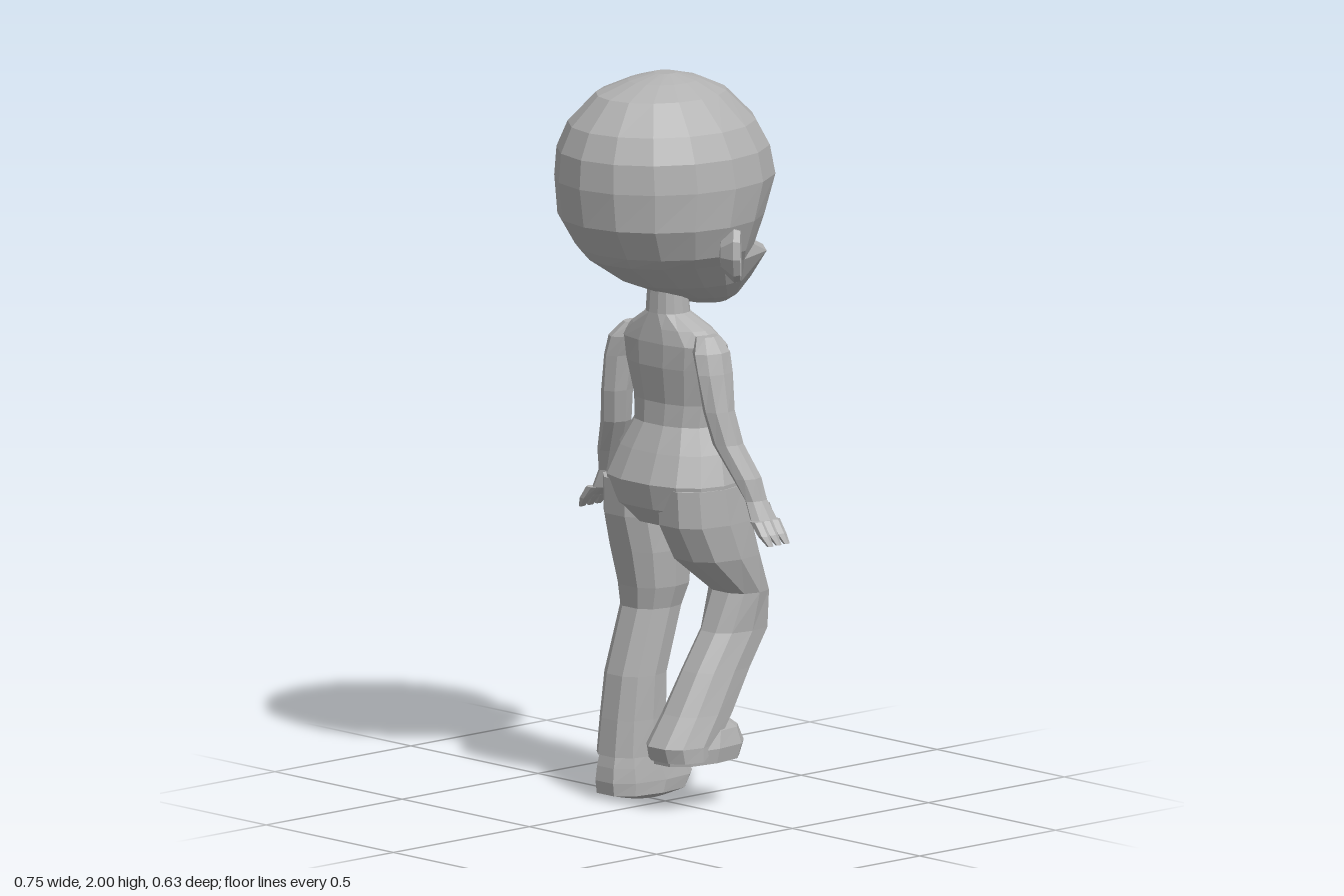
import * as THREE from 'three';

const grey = new THREE.MeshStandardMaterial({ color: 0xb2b2b2, flatShading: true });
grey.name = 'plain grey';

// Closed skin over horizontal rings [cx, y, cz, rx, rz, lip]; power < 1 makes the rings boxier,
// lip pushes the face side (-z) of a ring forward.
function loft(rings, sides, power = 1) {
  const list = rings[0][1] > rings[rings.length - 1][1] ? [...rings].reverse() : rings;
  const pos = [], index = [];
  const soft = v => Math.sign(v) * Math.abs(v) ** power;
  for (const [cx, y, cz, rx, rz, lip = 0] of list) {
    for (let i = 0; i < sides; i++) {
      const a = (i / sides) * Math.PI * 2, s = Math.sin(a);
      pos.push(cx + rx * soft(Math.cos(a)), y, cz + rz * soft(s) - (s < -0.7 ? lip : 0));
    }
  }
  for (let r = 0; r < list.length - 1; r++) {
    for (let i = 0; i < sides; i++) {
      const a = r * sides + i, b = r * sides + (i + 1) % sides;
      index.push(a, a + sides, b, b, a + sides, b + sides);
    }
  }
  const top = (list.length - 1) * sides, n = list.length * sides;
  for (const ring of [list[0], list[list.length - 1]]) pos.push(ring[0], ring[1], ring[2]);
  for (let i = 0; i < sides; i++) {
    const j = (i + 1) % sides;
    index.push(n, i, j, n + 1, top + j, top + i);
  }
  const g = new THREE.BufferGeometry();
  g.setAttribute('position', new THREE.Float32BufferAttribute(pos, 3));
  g.setIndex(index);
  g.computeVertexNormals();
  return g;
}

// Ring from height, half width and the z of its face side and back side
const span = (y, w, zFace, zBack, lip = 0, cx = 0) =>
  [cx, y, (zFace + zBack) / 2, w, (zBack - zFace) / 2, lip];

export function createModel() {
  const model = new THREE.Group();
  model.name = 'figure';
  const add = (name, geometry, parent = model) => {
    const mesh = new THREE.Mesh(geometry, grey);
    mesh.name = name;
    parent.add(mesh);
  };

  // Large rounded head with a protruding jaw
  add('head', loft([
    span(1.36, 0.07, -0.2, -0.08),
    span(1.385, 0.12, -0.225, -0.01),
    span(1.43, 0.165, -0.25, 0.11, 0.01),
    span(1.5, 0.215, -0.25, 0.22, 0.05),
    span(1.53, 0.24, -0.238, 0.245),
    span(1.615, 0.272, -0.268, 0.3),
    span(1.72, 0.28, -0.312, 0.315),
    span(1.8, 0.27, -0.295, 0.31),
    span(1.87, 0.238, -0.255, 0.28),
    span(1.95, 0.16, -0.175, 0.205),
    span(1.983, 0.09, -0.1, 0.11),
    span(2.0, 0.03, -0.03, 0.03),
  ], 16));

  // Neck, chest, waist and hips
  add('torso', loft([
    span(1.42, 0.055, -0.055, 0.04),
    span(1.345, 0.06, -0.065, 0.045),
    span(1.305, 0.13, -0.1, 0.05),
    span(1.265, 0.175, -0.125, 0.055),
    span(1.2, 0.165, -0.152, 0.055),
    span(1.1, 0.145, -0.155, 0.04),
    span(1.04, 0.138, -0.155, 0.045),
    span(0.97, 0.175, -0.165, 0.08),
    span(0.89, 0.203, -0.17, 0.115),
    span(0.82, 0.2, -0.17, 0.1),
    span(0.77, 0.13, -0.12, 0.06),
  ], 14, 0.85));

  for (const s of [1, -1]) {
    const side = s > 0 ? 'left' : 'right';
    const flip = rings => rings.map(([x, ...rest]) => [x * s, ...rest]);

    // Cupped ear turned out and forward
    const cup = [[0, -0.03], [0.04, -0.025], [0.075, 0.01], [0.07, 0.028], [0.05, 0.025], [0.035, 0], [0, -0.005]];
    const ear = new THREE.LatheGeometry(cup.map(p => new THREE.Vector2(...p)), 9);
    ear.scale(0.75, 1, 1.05).rotateX(-Math.PI / 2).rotateZ(-0.3 * s).rotateY(-0.8 * s);
    ear.translate(0.272 * s, 1.54, 0.015);
    add(side + 'Ear', ear);

    // Arm and hand
    const arm = new THREE.Group();
    arm.name = side + 'Arm';
    model.add(arm);
    add('sleeve', loft(flip([
      [0.14, 1.295, -0.02, 0.03, 0.035],
      [0.165, 1.255, -0.015, 0.04, 0.06],
      [0.182, 1.2, -0.012, 0.036, 0.06],
      [0.2, 1.1, -0.01, 0.037, 0.048],
      [0.22, 1.01, -0.025, 0.038, 0.045],
      [0.265, 0.92, -0.052, 0.034, 0.044],
      [0.288, 0.86, -0.065, 0.022, 0.036],
      [0.31, 0.81, -0.072, 0.026, 0.045],
      [0.335, 0.785, -0.072, 0.018, 0.04],
    ]), 8), arm);
    for (const z of [-0.035, -0.065, -0.095]) {
      add('finger', loft(flip([
        [0.322, 0.81, z, 0.02, 0.018],
        [0.35, 0.775, z, 0.016, 0.017],
        [0.37, 0.748, z - 0.005, 0.007, 0.01],
      ]), 6), arm);
    }
    add('thumb', loft(flip([
      [0.292, 0.85, -0.085, 0.018, 0.02],
      [0.272, 0.815, -0.12, 0.016, 0.018],
      [0.258, 0.795, -0.138, 0.006, 0.01],
    ]), 6), arm);
  }

  // Raised leg, bent at the knee
  add('leftLeg', loft([
    [0.105, 0.88, -0.03, 0.1, 0.125],
    [0.108, 0.78, -0.045, 0.1, 0.137],
    [0.105, 0.68, -0.09, 0.098, 0.125],
    [0.102, 0.575, -0.175, 0.083, 0.07],
    [0.1, 0.47, -0.16, 0.072, 0.1],
    [0.103, 0.37, -0.09, 0.074, 0.1],
    [0.106, 0.26, -0.02, 0.08, 0.1],
    [0.109, 0.18, 0.04, 0.085, 0.098],
    [0.109, 0.14, 0.04, 0.085, 0.085],
  ], 10, 0.8));
  add('leftShoe', loft([
    span(0.25, 0.055, -0.09, 0.05, 0, 0.11),
    span(0.215, 0.072, -0.14, 0.07, 0, 0.11),
    span(0.17, 0.086, -0.16, 0.125, 0, 0.11),
    span(0.13, 0.08, -0.145, 0.12, 0, 0.11),
  ], 10, 0.8));

  // Standing leg with a flared hem
  add('rightLeg', loft([
    [-0.105, 0.88, -0.03, 0.1, 0.125],
    [-0.108, 0.78, -0.035, 0.1, 0.125],
    [-0.105, 0.68, -0.045, 0.1, 0.11],
    [-0.1, 0.58, -0.05, 0.088, 0.095],
    [-0.105, 0.52, -0.045, 0.076, 0.08],
    [-0.112, 0.34, 0.005, 0.078, 0.08],
    [-0.116, 0.22, 0.01, 0.08, 0.09],
    [-0.118, 0.12, 0.01, 0.084, 0.1],
  ], 10, 0.8));
  add('rightShoe', loft([
    span(0.15, 0.075, -0.105, 0.1, 0, -0.118),
    span(0.09, 0.084, -0.155, 0.115, 0, -0.118),
    span(0.05, 0.089, -0.183, 0.12, 0, -0.118),
    span(0.015, 0.087, -0.16, 0.115, 0, -0.118),
    span(0, 0.06, -0.09, 0.05, 0, -0.118),
  ], 10, 0.8));

  return model;
}
